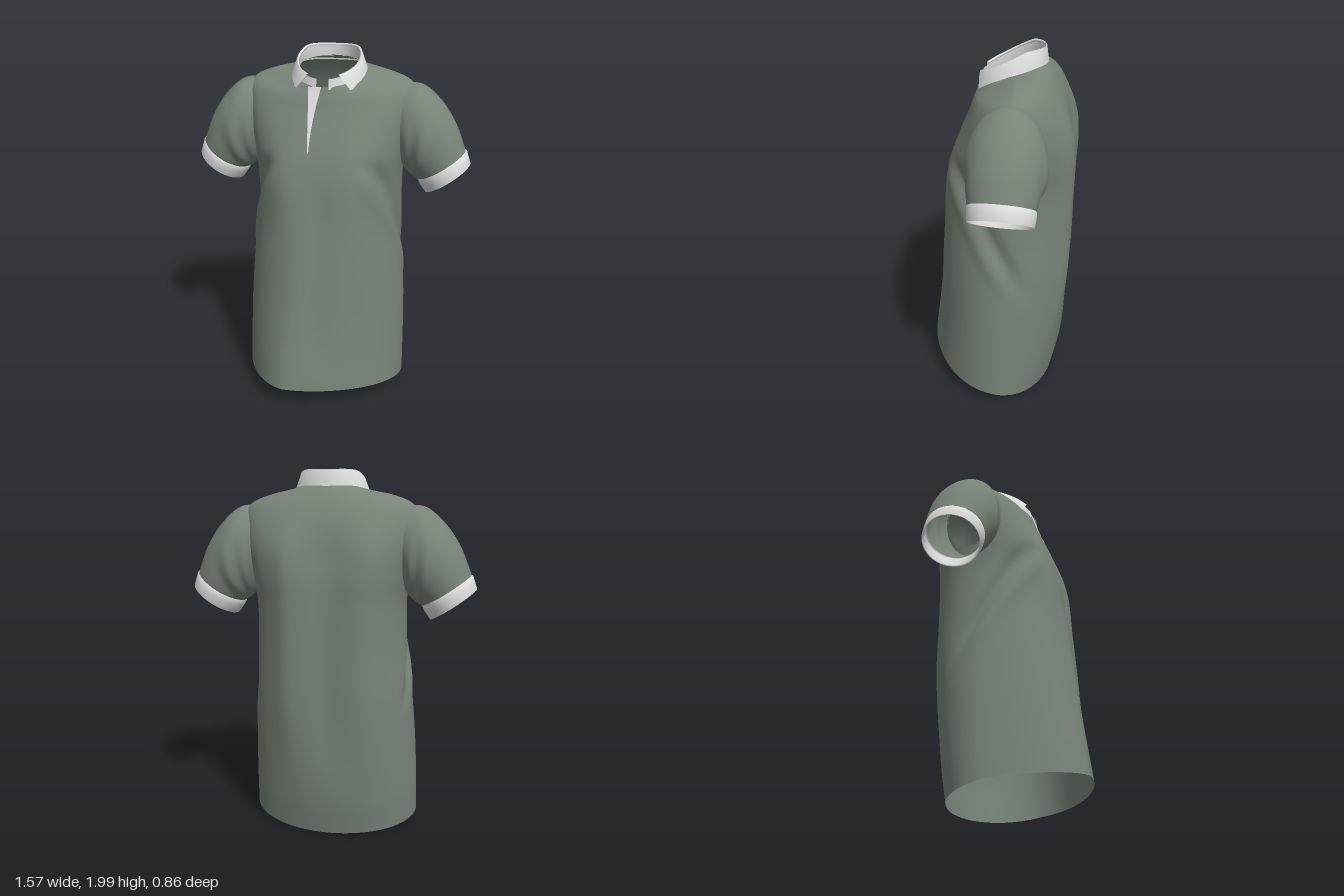
import * as THREE from 'three';

const green = new THREE.MeshStandardMaterial({ color: 0x788478, side: THREE.DoubleSide });
green.name = 'sage green fabric';
const white = new THREE.MeshStandardMaterial({ color: 0xe0dfdf, side: THREE.DoubleSide });
white.name = 'white rib';

const V = (x, y, z) => new THREE.Vector3(x, y, z);
const gauss = (d, r) => Math.exp(-(d * d) / (r * r));
const spow = (v, e) => Math.sign(v) * Math.pow(Math.abs(v), e);
const { lerp, smoothstep } = THREE.MathUtils;

// Skin a grid of points; closed joins the last column to the first,
// and faces whose first corner lies in a hole are left out
function loft(rows, closed, inHole = () => false) {
  const n = rows[0].length, index = [];
  for (let i = 0; i < rows.length - 1; i++) {
    for (let j = 0; j < (closed ? n : n - 1); j++) {
      if (inHole(rows[i][j])) continue;
      const k = (j + 1) % n;
      const a = i * n + j, b = i * n + k, c = a + n, d = b + n;
      index.push(a, c, b, b, c, d);
    }
  }
  const g = new THREE.BufferGeometry().setFromPoints(rows.flat());
  g.setIndex(index);
  g.computeVertexNormals();
  return g;
}

// Turn columns of control points into smooth rows
function smoothRows(columns, count) {
  const curves = columns.map(c => new THREE.CatmullRomCurve3(c));
  return Array.from({ length: count + 1 }, (_, i) => curves.map(c => c.getPoint(i / count)));
}

function add(group, name, geometry, material) {
  const m = new THREE.Mesh(geometry, material);
  m.name = name;
  group.add(m);
}

// Body rings: side y, front y, back y, half width, front z, back z, side z, squareness
const BODY = [
  [0.06, 0.12, 0.00, 0.478, 0.435, -0.335, -0.03, 1.0],
  [0.25, 0.30, 0.20, 0.474, 0.41, -0.375, -0.04, 1.0],
  [0.50, 0.53, 0.48, 0.465, 0.378, -0.41, -0.05, 1.0],
  [0.78, 0.80, 0.78, 0.445, 0.345, -0.432, -0.07, 0.98],
  [1.05, 1.06, 1.05, 0.420, 0.308, -0.435, -0.09, 0.95],
  [1.30, 1.30, 1.30, 0.412, 0.266, -0.435, -0.11, 0.9],
  [1.45, 1.45, 1.45, 0.430, 0.228, -0.43, -0.12, 0.84],
  [1.58, 1.58, 1.58, 0.455, 0.18, -0.41, -0.13, 0.82],
  [1.70, 1.68, 1.69, 0.468, 0.138, -0.375, -0.13, 0.84],
  [1.80, 1.745, 1.79, 0.45, 0.116, -0.33, -0.135, 0.92],
  [1.86, 1.775, 1.865, 0.32, 0.106, -0.285, -0.13, 1.0],
  [1.87, 1.80, 1.92, 0.19, 0.10, -0.238, -0.08, 1.0],
];

function bodyPoint([yS, yF, yB, w, zF, zB, zS, squareness], a) {
  const c = Math.cos(a), s = Math.sin(a), f = Math.abs(s);
  const y = lerp(yS, s > 0 ? yF : yB, f);
  const low = 1 - smoothstep(y, 0.1, 1.35);
  // The hem swings to the right in front, leaving that corner flattened
  const e = squareness + (s > 0 && c < 0 ? 0.4 * low : 0);
  const x = w * spow(c, e) - 0.01 * low - (s > 0 ? 0.15 * low * s * s : 0);
  return V(x, y, lerp(zS, s > 0 ? zF : zB, Math.pow(f, e)));
}

// Soft folds pressed into the cloth
function drape(p, a) {
  const s = Math.sin(a), c = Math.abs(Math.cos(a));
  if (s < 0) {
    const band = smoothstep(p.y, 0.2, 0.8) * (1 - smoothstep(p.y, 1.5, 1.8));
    p.z += -s * band * 0.035 * gauss(p.x + 0.03, 0.11);
    p.z -= -s * band * 0.018 * (gauss(p.x - 0.2, 0.07) + gauss(p.x + 0.25, 0.07));
  } else {
    const band = smoothstep(p.y, 0.15, 0.5) * (1 - smoothstep(p.y, 1.1, 1.4));
    p.z -= s * band * 0.014 * gauss(p.x - 0.02, 0.07);
    p.z += s * 0.025 * gauss(Math.abs(p.x) - 0.21, 0.1) * gauss(p.y - 1.3, 0.22);
  }
  // Creases falling backwards from the front of each armpit, with a ridge ahead
  const d = p.z - 0.17 + 0.55 * (1.4 - p.y);
  const band = smoothstep(p.y, 0.65, 0.95) * (1 - smoothstep(p.y, 1.3, 1.5)) * smoothstep(c, 0.35, 0.7);
  const push = band * (0.012 * gauss(d - 0.09, 0.05) - 0.026 * gauss(d, 0.05));
  p.x += Math.sign(p.x) * push * c;
  p.z += push * s;
}

// Armholes under the sleeves
const inArmhole = p => Math.abs(p.x) > 0.34 &&
  ((p.y - 1.585) / 0.19) ** 2 + ((p.z + 0.125) / 0.145) ** 2 < 1;

function buildBody(group) {
  const angle = j => j / 128 * Math.PI * 2;
  const cols = Array.from({ length: 128 }, (_, j) => BODY.map(r => bodyPoint(r, angle(j))));
  const rows = smoothRows(cols, 110);
  rows.forEach(r => r.forEach((p, j) => drape(p, angle(j))));
  add(group, 'body', loft(rows, true, inArmhole), green);
}

// Thin strip lying on the middle of the chest, with x edges per row
function chestStrip(group, name, y0, y1, left, right, lift, material) {
  const front = new THREE.CatmullRomCurve3(BODY.map(r => bodyPoint(r, Math.PI / 2)));
  const line = front.getPoints(200).filter(p => p.y >= y0 && p.y <= y1);
  const rows = line.map(p => {
    const t = (p.y - y0) / (y1 - y0);
    return [V(right(t), p.y, p.z + lift), V(left(t), p.y, p.z + lift)];
  });
  add(group, name, loft(rows, false), material);
}

// Sleeve rings: outer x, outer y, inner x, inner y, half depth
const SLEEVE = [
  [0.405, 1.803, 0.395, 1.38, 0.16],
  [0.50, 1.797, 0.425, 1.335, 0.193],
  [0.60, 1.72, 0.45, 1.31, 0.2],
  [0.69, 1.595, 0.475, 1.29, 0.188],
  [0.754, 1.445, 0.502, 1.275, 0.167],
];
const CUFF = [
  [0.745, 1.45, 0.508, 1.285, 0.155],
  [0.762, 1.44, 0.498, 1.277, 0.168],
  [0.772, 1.41, 0.512, 1.248, 0.168],
  [0.785, 1.372, 0.543, 1.205, 0.163],
  [0.778, 1.374, 0.55, 1.21, 0.156],
  [0.752, 1.42, 0.52, 1.27, 0.155],
];

function ringColumns(rings, side) {
  return Array.from({ length: 64 }, (_, j) => {
    const a = j / 64 * Math.PI * 2;
    return rings.map(([px, py, qx, qy, d]) => {
      const t = 0.5 + 0.5 * Math.cos(a);
      return V(side * lerp(qx, px, t), lerp(qy, py, t), -0.125 - side * d * Math.sin(a));
    });
  });
}

function buildSleeve(group, side) {
  const arm = new THREE.Group();
  arm.name = side > 0 ? 'leftSleeve' : 'rightSleeve';
  const rows = smoothRows(ringColumns(SLEEVE, side), 36);
  // Gathered wrinkles in front of and behind the armpit
  rows.forEach((r, i) => r.forEach((p, j) => {
    const a = j / 64 * Math.PI * 2, t = i / 36;
    const k = Math.sin(a) ** 2 * (0.5 - 0.5 * Math.cos(a)) * Math.sin(t * Math.PI);
    p.z += Math.sign(p.z + 0.125) * 0.014 * k * Math.sin(t * 16 + p.y * 12);
  }));
  add(arm, 'sleeve', loft(rows, true), green);
  const cuffCols = ringColumns(CUFF, side);
  add(arm, 'cuff', loft(CUFF.map((_, i) => cuffCols.map(c => c[i])), true), white);
  group.add(arm);
}

// Band round the neck; profile holds [outward offset, height below the top edge].
// The ends sit at the gap angle and slant back by the given amount.
function neckBand(group, name, gap, slant, profile) {
  const rows = profile.map(([out, drop]) => Array.from({ length: 65 }, (_, j) => {
    const end = gap - drop * slant;
    const a = lerp(end, Math.PI * 2 - end, j / 64);
    const z = -0.07 + 0.168 * Math.cos(a);
    const top = 1.903 - 0.5 * z - 1.1 * Math.max(0, -0.15 - z) ** 1.4;
    const forward = out * (Math.cos(a) > 0 ? 1 : 0.4) * Math.cos(a);
    return V((0.165 + out) * Math.sin(a), Math.min(top, 2) + drop, z + forward);
  }));
  add(group, name, loft(rows, false), white);
}

export function createModel() {
  const shirt = new THREE.Group();
  shirt.name = 'poloShirt';
  buildBody(shirt);
  for (const side of [1, -1]) buildSleeve(shirt, side);

  // Collar: inner stand and folded leaf
  const collar = new THREE.Group();
  collar.name = 'collar';
  neckBand(collar, 'collarStand', 0.2, 0, [[0.008, -0.07], [0.002, -0.045], [0, -0.015]]);
  neckBand(collar, 'collarLeaf', 0.5, 3,
    [[0, -0.008], [0.004, 0], [0.012, -0.003], [0.026, -0.04], [0.046, -0.092], [0.04, -0.092]]);
  shirt.add(collar);

  // Button placket with the white facing showing along its open edge
  chestStrip(shirt, 'placket', 1.46, 1.8, () => -0.045, () => 0.02, 0.004, green);
  chestStrip(shirt, 'placketFacing', 1.47, 1.81,
    t => -0.052 - 0.025 * t, t => -0.046 + 0.045 * t * t, 0.008, white);
  return shirt;
}
